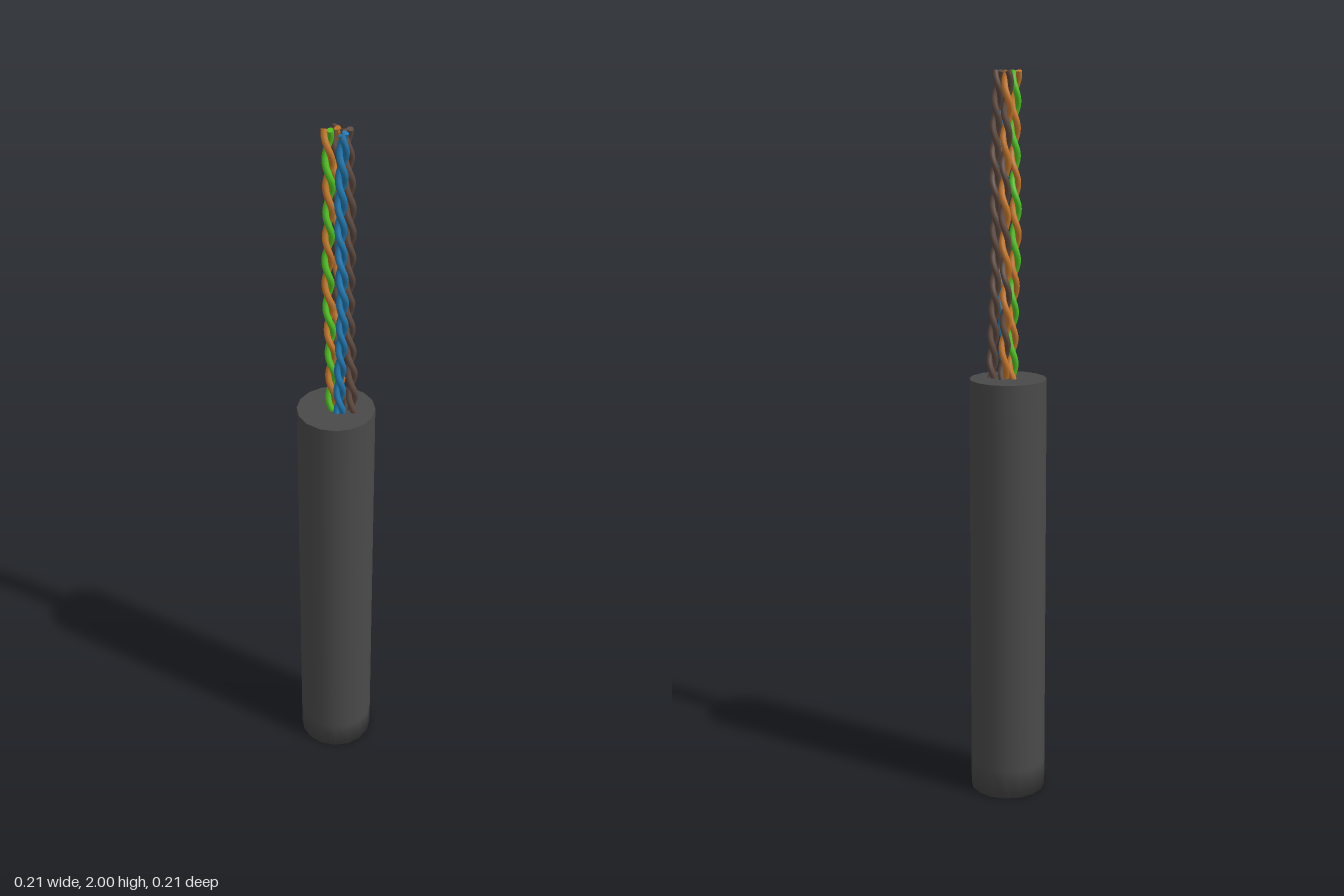
import * as THREE from 'three';

const TOP = 2, COLLAR = 1.19, SLEEVE_R = 0.105;
const WIRE_R = 0.0085, TWIST_R = 0.008, TURNS = 6;

function mesh(name, geometry, color) {
  const m = new THREE.Mesh(geometry, new THREE.MeshStandardMaterial({ color }));
  m.name = name;
  return m;
}

// One wire winding round a slightly wandering centre line, with a flat cut end.
function wire(name, color, pair, phase) {
  const { from, to, wobble } = pair;
  const points = [];
  const n = 72;
  for (let i = 0; i <= n; i++) {
    const t = i / n;
    const a = phase + t * TURNS * Math.PI * 2;
    const sway = 0.004 * Math.sin(t * Math.PI * 3 + wobble);
    points.push(new THREE.Vector3(
      THREE.MathUtils.lerp(from[0], to[0], t) + sway + TWIST_R * Math.cos(a),
      THREE.MathUtils.lerp(COLLAR - 0.02, TOP - 0.001, t),
      THREE.MathUtils.lerp(from[1], to[1], t) + sway * 0.5 + TWIST_R * Math.sin(a)
    ));
  }
  const curve = new THREE.CatmullRomCurve3(points);
  const group = new THREE.Group();
  group.name = name;
  group.add(mesh('insulation', new THREE.TubeGeometry(curve, 150, WIRE_R, 8), color));
  const end = mesh('cutEnd', new THREE.CircleGeometry(WIRE_R, 8), color);
  end.position.copy(points[n]);
  end.quaternion.setFromUnitVectors(new THREE.Vector3(0, 0, 1), curve.getTangent(1));
  group.add(end);
  return group;
}

export function createModel() {
  const model = new THREE.Group();
  model.name = 'cable';

  // Outer sleeve, closed at both ends, with shading softened towards the rims
  const profile = [[0, 0], [SLEEVE_R, 0], [SLEEVE_R, 0.08], [SLEEVE_R, COLLAR - 0.08], [SLEEVE_R, COLLAR]];
  model.add(mesh('sleeve', new THREE.LatheGeometry(
    profile.map(([r, y]) => new THREE.Vector2(r, y)), 16), 0x4a4a4a));
  const cap = mesh('sleeveEnd', new THREE.CircleGeometry(SLEEVE_R, 16), 0x4a4a4a);
  cap.rotation.x = -Math.PI / 2;
  cap.position.y = COLLAR;
  model.add(cap);

  // Four twisted pairs; from and to are the x, z of the centre line at collar and tip
  const orange = 0xc9792b, green = 0x4fc422, blue = 0x2178b0, brown = 0x5e4a40;
  const pairs = [
    { name: 'greenOrangePair', colors: [green, orange], from: [-0.013, 0.004], to: [-0.008, 0.033], wobble: 0 },
    { name: 'orangeBrownPair', colors: [orange, brown], from: [0.003, -0.016], to: [0.008, 0.009], wobble: 2 },
    { name: 'bluePair', colors: [blue, blue], from: [0.02, 0.015], to: [0.034, 0.038], wobble: 4 },
    { name: 'brownPair', colors: [brown, brown], from: [0.04, -0.01], to: [0.036, 0.012], wobble: 1 }
  ];
  pairs.forEach((pair, i) => {
    const group = new THREE.Group();
    group.name = pair.name;
    pair.colors.forEach((color, k) =>
      group.add(wire(k ? 'secondWire' : 'firstWire', color, pair, i * 0.9 + k * Math.PI)));
    model.add(group);
  });

  // Sleeve underside
  const base = mesh('sleeveBase', new THREE.CircleGeometry(SLEEVE_R, 16), 0x4a4a4a);
  base.rotation.x = Math.PI / 2;
  model.add(base);
  return model;
}
